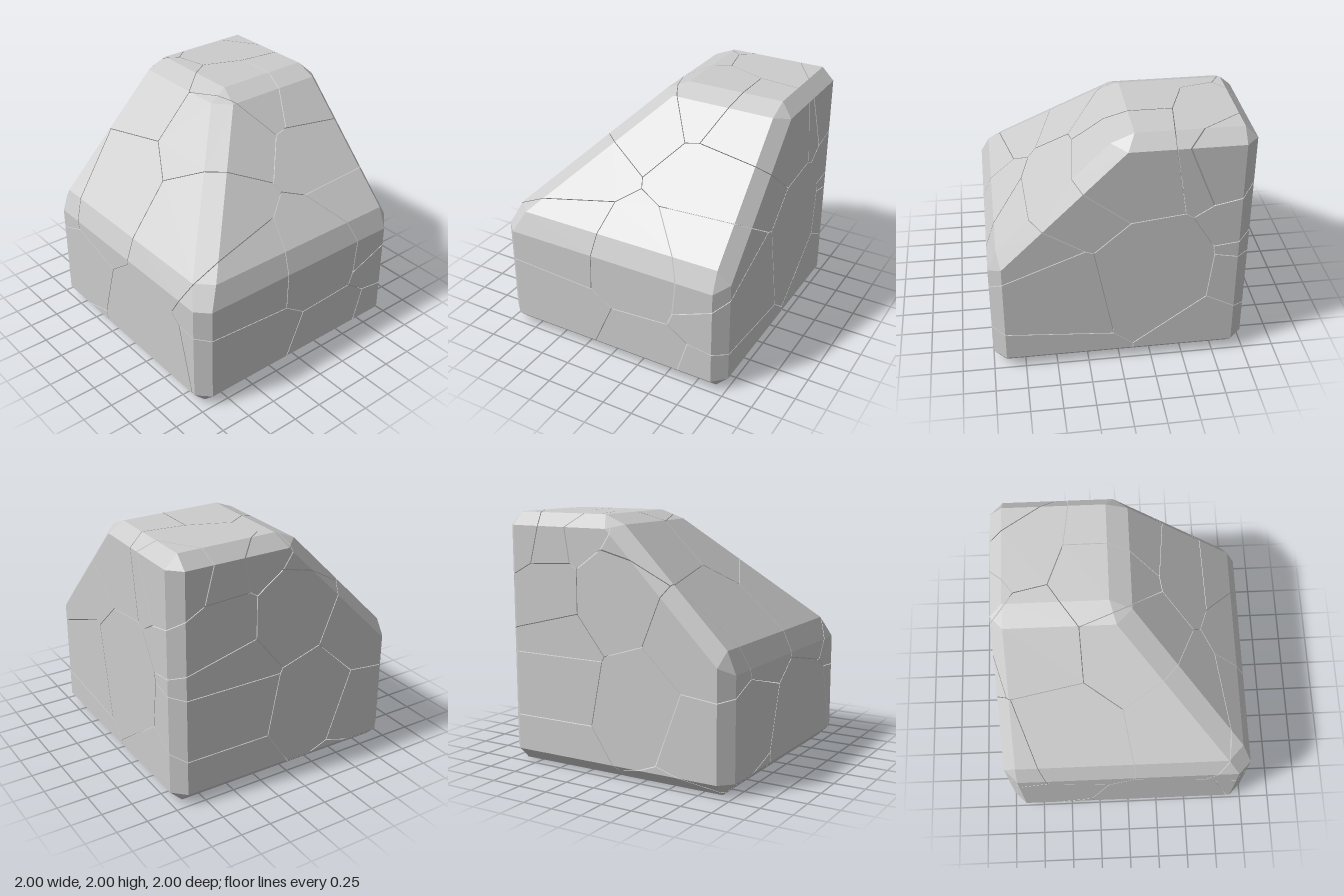
import * as THREE from 'three';
import { ConvexGeometry } from 'three/addons/geometries/ConvexGeometry.js';

const BEVEL = 0.1;
const CRACK = 0.003; // half the width of a crack

const plane = (x, y, z, d) => new THREE.Plane(new THREE.Vector3(x, y, z).normalize(), -d);

// Corners of the convex body that lies behind all the planes
function corners(planes) {
  const out = [];
  const bc = new THREE.Vector3(), ca = new THREE.Vector3(), ab = new THREE.Vector3();
  for (let i = 0; i < planes.length; i++) {
    for (let j = i + 1; j < planes.length; j++) {
      ab.crossVectors(planes[i].normal, planes[j].normal);
      for (let k = j + 1; k < planes.length; k++) {
        const a = planes[i], b = planes[j], c = planes[k];
        const det = ab.dot(c.normal);
        if (Math.abs(det) < 1e-5) continue;
        bc.crossVectors(b.normal, c.normal);
        ca.crossVectors(c.normal, a.normal);
        const p = new THREE.Vector3()
          .addScaledVector(bc, -a.constant)
          .addScaledVector(ca, -b.constant)
          .addScaledVector(ab, -c.constant)
          .divideScalar(det);
        if (planes.some((q) => q.distanceToPoint(p) > 1e-5)) continue;
        if (!out.some((q) => q.distanceTo(p) < 1e-3)) out.push(p);
      }
    }
  }
  return out;
}

// Block with two sloped sides, every edge bevelled: hull of the inset faces
function bevelledBlock() {
  const faces = [
    plane(1, 0, 0, 1), plane(-1, 0, 0, 1),
    plane(0, 1, 0, 2), plane(0, -1, 0, 0),
    plane(0, 0, 1, 1), plane(0, 0, -1, 1),
    plane(-1, 1, 0, Math.SQRT2), plane(0, 1, 1, Math.SQRT2),
  ];
  const points = [];
  for (const f of faces) {
    const inset = faces.map((g) => {
      const s = new THREE.Vector3().crossVectors(f.normal, g.normal).length();
      return new THREE.Plane(g.normal.clone(), g.constant + BEVEL * s);
    });
    points.push(...corners(inset).filter((p) => Math.abs(f.distanceToPoint(p)) < 1e-4));
  }
  return new ConvexGeometry(points);
}

// The distinct flat faces of a convex geometry
function facePlanes(geometry) {
  const pos = geometry.attributes.position;
  const out = [];
  for (let i = 0; i < pos.count; i += 3) {
    const [a, b, c] = [0, 1, 2].map((k) => new THREE.Vector3().fromBufferAttribute(pos, i + k));
    if (new THREE.Triangle(a, b, c).getArea() < 1e-6) continue;
    const p = new THREE.Plane().setFromCoplanarPoints(a, b, c);
    const known = out.some((q) => q.normal.dot(p.normal) > 0.9999 && Math.abs(q.constant - p.constant) < 1e-3);
    if (!known) out.push(p);
  }
  return out;
}

// Centres of the broken pieces
const seeds = [
  // front
  [0.05, 0.92, 0.95], [0.47, 0.88, 0.47], [0.53, 0.73, 0.41], [0.1, 0.1, 0.75],
  [0.43, 0, 0.47], [-0.36, 0.3, 0.82], [-0.32, 0.93, 0.87],
  // slopes and top
  [-0.42, 1.18, 0.47], [0.45, 1.3, 0.2], [-0.04, 1.62, 0.05], [0.33, 1.78, -0.1],
  [0.52, 1.68, -0.1], [-0.05, 1.6, -0.7], [-0.65, 1.2, -0.55], [0.62, 1.8, -0.85],
  // right side and its back corner
  [0.6, 0.85, -0.2], [0.85, 1.86, -1.0], [0.6, 1.4, -1.1], [0.5, 1.0, -1.15],
  [0.5, 0.75, -1.1], [0.5, 0.1, -0.75],
  // back
  [0, 1.4, -0.95], [0.32, 1.85, -1.25], [-0.25, 0.6, -0.95], [-0.72, 1.1, -1.0],
  // left side and floor
  [-0.65, 0.45, -0.75], [-0.5, -0.05, -0.6], [-0.75, 0.15, 0.25],
].map((s) => new THREE.Vector3(...s));

export function createModel() {
  const group = new THREE.Group();
  group.name = 'crackedBlock';
  const material = new THREE.MeshStandardMaterial({ color: 0xcccccc, flatShading: true });
  const outer = facePlanes(bevelledBlock());

  // Each piece is the part of the block nearest to its own centre
  seeds.forEach((s, i) => {
    const cuts = seeds.filter((t) => t !== s).map((t) => {
      const n = t.clone().sub(s).normalize();
      const mid = s.clone().add(t).multiplyScalar(0.5).addScaledVector(n, -CRACK);
      return new THREE.Plane().setFromNormalAndCoplanarPoint(n, mid);
    });
    const points = corners([...outer, ...cuts]);
    if (points.length < 4) return;
    const mesh = new THREE.Mesh(new ConvexGeometry(points), material);
    mesh.name = `blockPiece${i + 1}`;
    group.add(mesh);
  });
  return group;
}
